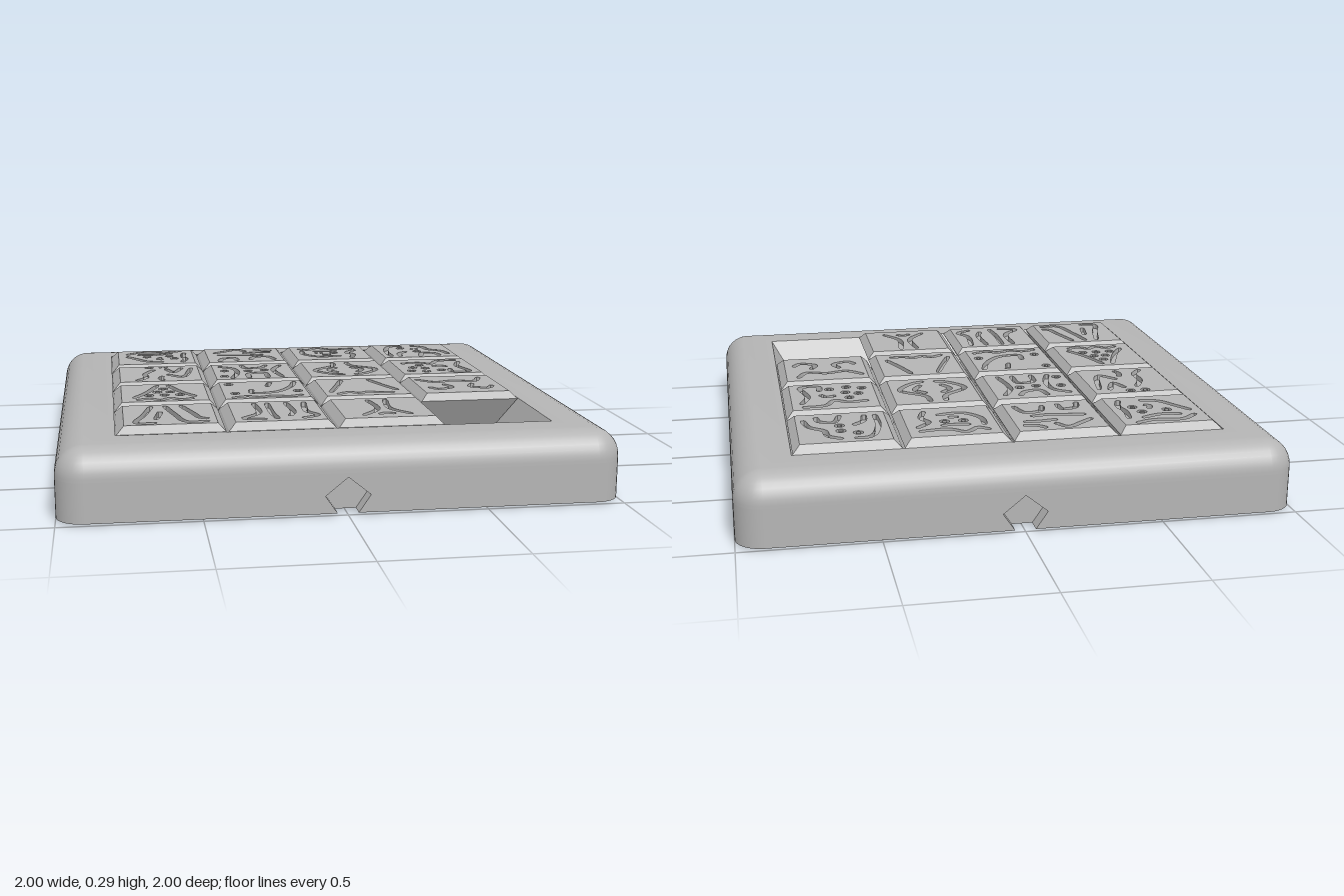
import * as THREE from 'three';
import { toCreasedNormals } from 'three/addons/utils/BufferGeometryUtils.js';

const TOP = 0.287, FLOOR = 0.267, RIM = 0.26, BASE = 0.007;
const PITCH = 0.395, FACE = 0.166, KEY = 0.075;

// Skin a list of cross-section rings, in order.
function loft(rings, closed = true) {
  const pos = [];
  for (let r = 0; r + 1 < rings.length; r++) {
    const n = rings[r].length;
    for (let i = 0; i < (closed ? n : n - 1); i++) {
      const j = (i + 1) % n;
      const a = rings[r][i], b = rings[r][j], c = rings[r + 1][i], d = rings[r + 1][j];
      pos.push(...a, ...c, ...b, ...b, ...c, ...d);
    }
  }
  const g = new THREE.BufferGeometry();
  g.setAttribute('position', new THREE.Float32BufferAttribute(pos, 3));
  g.computeVertexNormals();
  return g;
}

// Rounded square ring at height y, moved by shift in x and z.
function ring(half, y, radius = 0, shift = 0, steps = 8) {
  const out = [];
  for (let q = 0; q < 4; q++) {
    const sx = q === 0 || q === 3 ? 1 : -1, sz = q < 2 ? 1 : -1;
    for (let s = 0; s <= steps; s++) {
      const t = (q + s / Math.max(steps, 1)) * Math.PI / 2;
      out.push([sx * (half - radius) + radius * Math.cos(t) + shift, y,
        sz * (half - radius) + radius * Math.sin(t) + shift]);
    }
  }
  return out;
}

const shapeOf = (pts) => new THREE.Shape(pts.map(([x, y]) => new THREE.Vector2(x, y)));

// Outline of a carved stroke; input in hundredths of a unit.
function strokePath(flat) {
  const pts = [];
  for (let i = 0; i < flat.length; i += 2) pts.push(new THREE.Vector3(flat[i] / 100, flat[i + 1] / 100, 0));
  const curve = new THREE.CatmullRomCurve3(pts), n = (pts.length - 1) * 7, w = 0.0105;
  const left = [], right = [];
  for (let i = 0; i <= n; i++) {
    const p = curve.getPoint(i / n), t = curve.getTangent(i / n);
    const end = i === 0 || i === n ? 0.6 : 1;
    left.push(new THREE.Vector2(p.x - t.y * w * end, p.y + t.x * w * end));
    right.push(new THREE.Vector2(p.x + t.y * w * end, p.y - t.x * w * end));
  }
  return new THREE.Path([...left, ...right.reverse()]);
}

// Second copy of a stroke mirrored in x.
const pair = (s) => [s, s.map((v, i) => (i % 2 ? v : -v))];

export function createModel() {
  const model = new THREE.Group();
  const gray = new THREE.MeshStandardMaterial({ color: 0xb4b4b4 });
  gray.name = 'gray';
  const add = (parent, geometry, name) => {
    const m = new THREE.Mesh(geometry, gray);
    m.name = name;
    parent.add(m);
    return m;
  };

  // Frame: rounded rim, then a keyed opening sheared toward one corner
  const frame = new THREE.Group();
  frame.name = 'frame';
  model.add(frame);
  const rings = [ring(1, 0.15, 0.1)];
  for (let i = 0; i <= 8; i++) {
    const a = i / 8 * Math.PI / 2, inset = 0.1 * (1 - Math.cos(a));
    rings.push(ring(1 - inset, 0.16 + 0.1 * Math.sin(a), 0.1 - inset));
  }
  rings.push(ring(0.79, RIM), ring(0.79, 0.135, 0, -KEY), ring(0.79, BASE));
  add(frame, toCreasedNormals(loft(rings), 0.5), 'rim');

  // Four outer sides, each with a five-sided notch at its foot
  const notch = [[0.037, BASE], [0.08, 0.07], [0, 0.135], [-0.08, 0.07], [-0.037, BASE]];
  const depth = 0.06;
  const arc = (cx, from) => Array.from({ length: 5 }, (_, i) => {
    const t = from + i / 4 * Math.PI / 4;
    return [cx + 0.1 * Math.cos(t), 0.9 + 0.1 * Math.sin(t)];
  });
  for (let k = 0; k < 4; k++) {
    const side = new THREE.Group();
    side.name = 'frameSide';
    side.rotation.y = k * Math.PI / 2;
    frame.add(side);
    const wall = [[-0.9, BASE], [-0.9, 0.15], [0.9, 0.15], [0.9, BASE], ...notch];
    add(side, new THREE.ShapeGeometry(shapeOf(wall)), 'sideWall').position.z = 1;
    add(side, new THREE.ShapeGeometry(shapeOf(notch)), 'notchBack').position.z = 1 - depth;
    add(side, loft([1 - depth, 1].map((z) => notch.map(([x, y]) => [x, y, z])), false), 'notchWall');
    add(side, new THREE.CylinderGeometry(0.1, 0.1, 0.15 - BASE, 8, 1, true, 0, Math.PI / 2), 'corner')
      .position.set(0.9, (0.15 + BASE) / 2, 0.9);
    const under = [[-0.79, 0.79], [0.79, 0.79], ...arc(0.9, Math.PI / 4), [0.037, 1], [0.037, 1 - depth],
      [-0.037, 1 - depth], [-0.037, 1], ...arc(-0.9, Math.PI / 2)];
    add(side, new THREE.ShapeGeometry(shapeOf(under)).rotateX(Math.PI / 2), 'underside').position.y = BASE;
  }

  // Tile body: bevelled above and below, tongues on two sides, grooves on the others
  const body = loft([ring(0, 0, 0, 0, 0), ring(FACE, 0, 0, 0, 0), ring(0.193, 0.027, 0, 0, 0),
    ring(0.193, 0.14, 0, -0.07, 0), ring(0.193, RIM, 0, 0, 0), ring(FACE, TOP, 0, 0, 0),
    ring(FACE, FLOOR, 0, 0, 0), ring(0, FLOOR, 0, 0, 0)]);
  const island = new THREE.CylinderGeometry(0.009, 0.009, TOP - FLOOR, 10);

  // Tile with carved strokes and carved rings in its face
  function tile(col, row, strokes, dots = []) {
    const g = new THREE.Group();
    g.name = 'tile';
    g.position.set((col - 1.5) * PITCH, 0, (row - 1.5) * PITCH);
    model.add(g);
    add(g, body, 'tileBody');
    const face = shapeOf([[-FACE, -FACE], [FACE, -FACE], [FACE, FACE], [-FACE, FACE]]);
    strokes.forEach((s) => face.holes.push(strokePath(s)));
    for (const [x, z] of dots) {
      face.holes.push(new THREE.Path().absarc(x / 100, z / 100, 0.019, 0, Math.PI * 2));
      add(g, island, 'ringCentre').position.set(x / 100, (TOP + FLOOR) / 2, z / 100);
    }
    const plate = new THREE.ExtrudeGeometry(face, { depth: TOP - FLOOR, bevelEnabled: false, curveSegments: 6 });
    add(g, plate.rotateX(Math.PI / 2), 'carvedFace').position.y = TOP;
  }

  // Top row: heads
  tile(0, 0, [[-13, -8, -6, -13, 4, -12, 12, -14.5], [-13, -3, -9, 3, -4, 10, 3, 12],
    [13, -9, 12, 0, 13, 6, 11, 13], [-8, -7, 0, -6, 8, -9], [2, 1.5, 1, 5, 3, 6]], [[-4, -1], [6, -2], [8, 4]]);
  tile(1, 0, [[-13, -6, -8, -10, -2, -14, 2, -9], [6, -14, 9, -11, 14, -10], [0, -5, 6, -6, 13, -6],
    [-12, -1, -5, 0, 2, 1, 9, 0], [-12, 14, -10, 8, -5, 7, -4, 13], [2, 12, 4, 6, 10, 5, 13, 13]]);
  tile(2, 0, [[-13, -12, -9, -9, -4, -13, 2, -9, 13, -10], [-12, -6, -12, 2, -6, 9, 4, 8],
    [13, -6, 8, 0, 10, 5, 8, 13], [-7, -5, 0, -4, 4, -5], [-4, 4.5, 0, 4.5]], [[-5, 0], [2, 0]]);
  tile(3, 0, [[-13, 13, -13, 0, -9, -12, -3, -13], [-9, 13, -8, 6, -4, 2],
    [1, -13, 6, -9, 7, -3, 12, 2, 14, 10], [0, 14, 3, 6, 8, 8, 9, 13]], [[-5, -7], [1, -4], [1, 2]]);
  // Second row: bodies and arms
  tile(0, 1, [[14, -11, 9, 8, 3, 2], [10, -12, 6, -3, 3, -10], [-2, -9, -6, 0, -6, 8, -10, 14],
    [1, 6, 0, 10, 1, 14]], [[-4, -14], [2, -14]]);
  tile(1, 1, [[-14, -12, -8, -7, -7, 3, -10, 14], [-4, -14, -2, -7, 4, -8, 7, -13],
    [13, -12, 9, -3, 11, 14], [-3, 14, -2, 5, 4, 4, 5, 14]], [[-12, -2], [-2, -1], [5, -2], [-13, 10]]);
  tile(2, 1, [...pair([-3, -14, -4, -7, -13, 2, -7, 11, -2, 13]), ...pair([-3, -3, -7, 2, -4, 8])]);
  tile(3, 1, [[-13, -8, -5, -9, 0, -6, 4, -12, 13, -13], [13, -9, 10, 0, 12, 13, 5, 13, 5, 7],
    [-1, 0, 3, -1, 5, 2]], [[-10, 2], [-5, 4], [-6, 11], [-12, 9], [1, 9], [-6, -3]]);
  // Third row: skirts
  tile(0, 2, [...pair([-2, -14, -7, 0, -12, 9]), [-11, 13, -6, 11, -2, 14, 2, 11, 6, 14, 11, 12]],
    [[0, -7], [-2.5, -1], [2.5, -1], [-6, 5], [0, 5], [6, 5]]);
  tile(1, 2, [[14, -14, 11, -4, 4, 5, -5, 6, -5, -1], [4, -14, 2, -6],
    [-14, 14, -8, 12, -3, 14, 3, 12, 8, 14, 14, 12]], [[-13, -12], [-12, 6], [13, 4]]);
  tile(2, 2, [[-6, -14, -10, -2, -14, 9], [5, -14, 9, -2, 13, 8],
    [-12, 13, -7, 10, -3, 12, 1, 10, 5, 12, 11, 12]]);
  tile(3, 2, [[-15, -11, -8, -5, 0, -7, 8, -5, 12, -12], ...pair([-6, 0, -4, 6, -10, 9, -13, 5])]);
  // Bottom row: legs
  tile(0, 3, [[-6, -14, -9, 0, -12, 13, -5, 14], [-1, -14, 2, 0, 6, 13, 14, 13], [5, -14, 9, 0, 11, 7, 14, 9],
    [-3, -4, -5, 8]]);
  tile(1, 3, [[-7, -14, -7, 3, -13, 11, -5, 13], [-2, -14, -2, 3, -1, 13], [5, -14, 6, 2, 4, 9],
    [12, -14, 11, 2, 14, 9, 8, 13]]);
  tile(2, 3, [[-3, -14, -2, 2, -9, 12], [4, -14, 3, 2, 9, 12], [-3, 11, 0, 9, 3, 11]]);

  return model;
}
